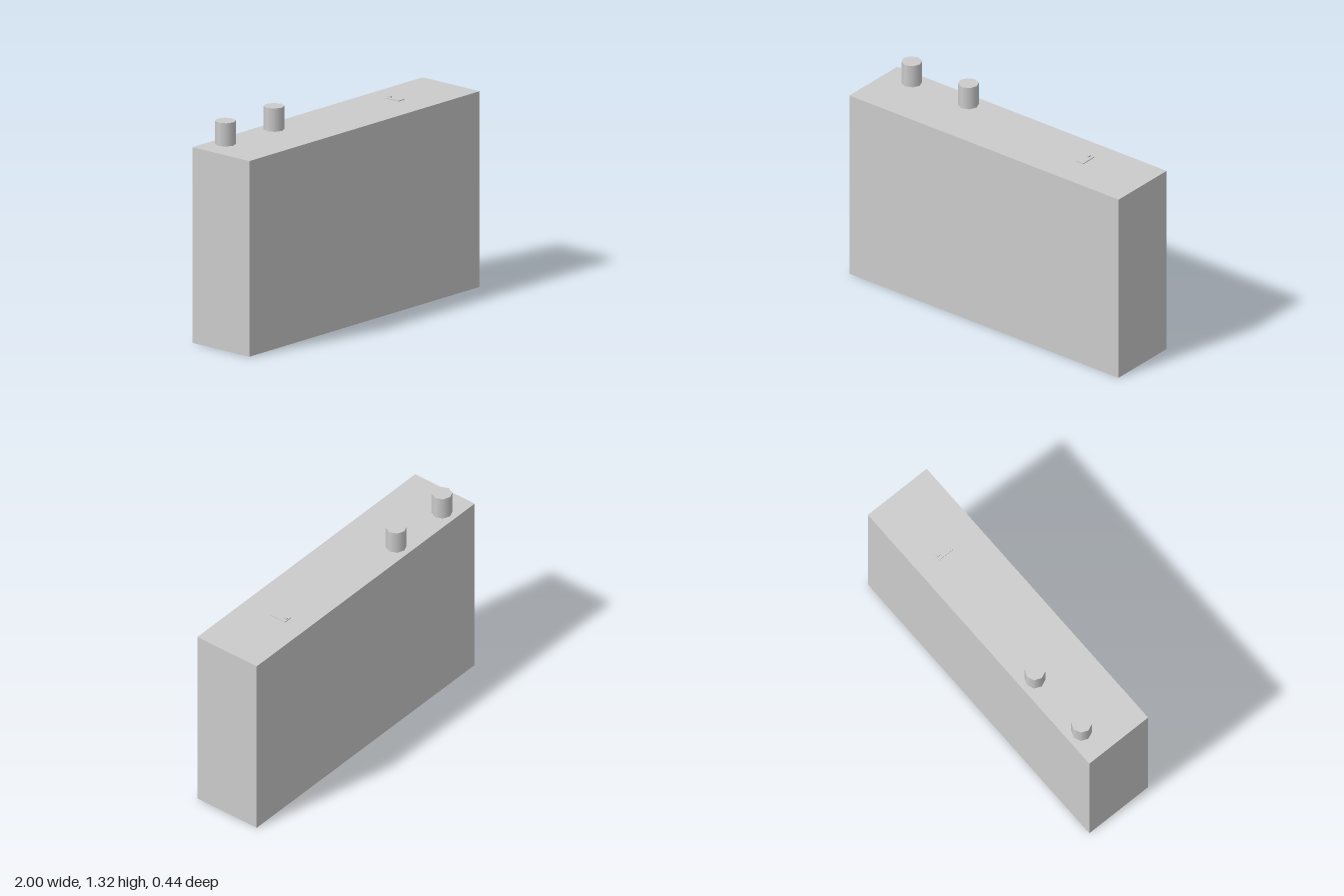
import * as THREE from 'three';

export function createModel() {
  const group = new THREE.Group();
  const material = new THREE.MeshStandardMaterial({ color: 0xcccccc });

  const add = (name, geometry, x, y, z) => {
    const mesh = new THREE.Mesh(geometry, material);
    mesh.name = name;
    mesh.position.set(x, y, z);
    group.add(mesh);
  };

  // Main case
  const top = 1.178;
  add('case', new THREE.BoxGeometry(2, top, 0.444), 0, top / 2, 0);

  // Two eight-sided posts near the back edge
  const postHeight = 0.14;
  [-0.817, -0.396].forEach((x, i) => {
    add(`post${i + 1}`, new THREE.CylinderGeometry(0.061, 0.061, postHeight, 8), x, top + postHeight / 2, -0.127);
  });

  // Small switch: low plate with a raised button
  add('switchPlate', new THREE.BoxGeometry(0.054, 0.005, 0.105), 0.546, top + 0.0025, -0.033);
  add('switchButton', new THREE.BoxGeometry(0.013, 0.012, 0.022), 0.546, top + 0.006, -0.069);

  return group;
}
